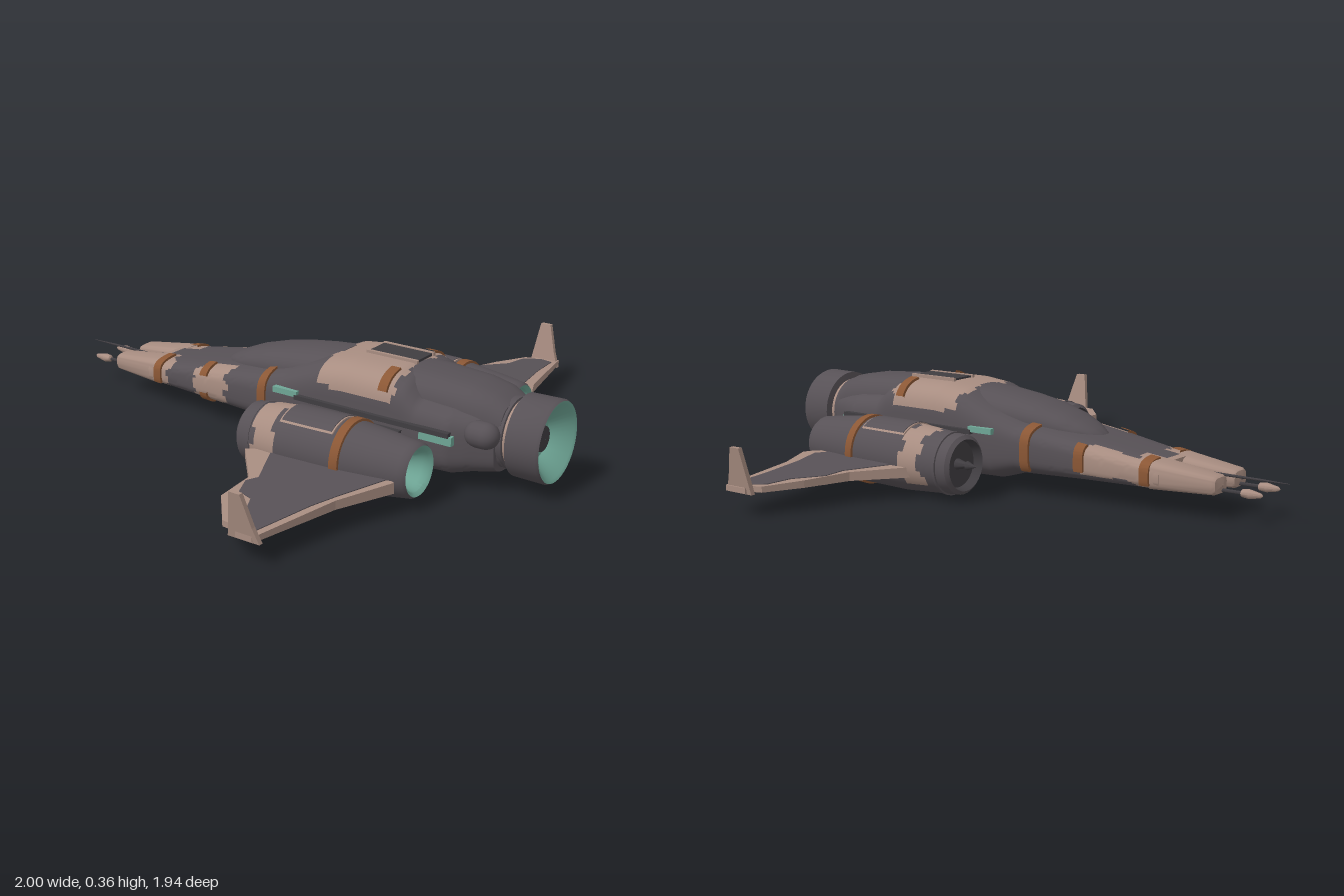
import * as THREE from 'three';
import { toCreasedNormals } from 'three/addons/utils/BufferGeometryUtils.js';

const COLORS = { darkHull: 0x575156, tanPaint: 0xa88d81, rustStrap: 0x8b5735, tealGlow: 0x6fa696, gunmetal: 0x403d41 };
const KEYS = Object.keys(COLORS);
const [DARK, TAN, RUST, TEAL, GUN] = [0, 1, 2, 3, 4];

// Sections run along x as [x, halfWidth, bottom, top, zCentre].
const round = (x, r, cy = 0, z = 0) => [x, r, cy - r, cy + r, z];
const HULL = [
  [-0.604, 0.01, 0.1, 0.11, 0], [-0.6, 0.135, 0.072, 0.165, 0], [-0.5, 0.143, 0.07, 0.178, 0],
  [-0.3, 0.168, 0.068, 0.21, 0], [-0.05, 0.19, 0.06, 0.245, 0], [0.05, 0.195, 0.03, 0.275, 0],
  [0.2, 0.195, 0.025, 0.335, 0], [0.3, 0.195, 0.025, 0.347, 0], [0.48, 0.195, 0.025, 0.347, 0],
  [0.53, 0.195, 0.027, 0.33, 0], [0.58, 0.195, 0.03, 0.285, 0], [0.7, 0.19, 0.035, 0.275, 0],
  [0.76, 0.165, 0.05, 0.265, 0], [0.84, 0.125, 0.06, 0.25, 0], [0.845, 0.01, 0.15, 0.16, 0]];

export function createModel() {
  const model = new THREE.Group();
  model.name = 'starfighter';
  const mats = KEYS.map((name) => {
    const m = new THREE.MeshStandardMaterial({ color: COLORS[name] });
    m.name = name;
    return m;
  });
  const add = (name, geo, mat, parent = model) => {
    const mesh = new THREE.Mesh(geo, mat);
    mesh.name = name;
    parent.add(mesh);
    return mesh;
  };
  const box = (name, w, h, d, x, y, z, color, parent) => {
    const m = add(name, new THREE.BoxGeometry(w, h, d), mats[color], parent);
    m.position.set(x, y, z);
    return m;
  };

  // Lofts superellipse sections; paint(x, y, z, segment) picks the colour of each quad.
  const loft = (name, stations, { n = 2, paint = () => DARK, step = 1, a0 = -90, a1 = 270, sides = 36, parent } = {}) => {
    const rows = [];
    stations.forEach((s, i) => {
      const next = stations[i + 1];
      const k = next ? Math.max(1, Math.ceil(Math.abs(next[0] - s[0]) / step)) : 1;
      for (let j = 0; j < k; j++) rows.push({ seg: i, s: next ? s.map((v, c) => v + (next[c] - v) * j / k) : s });
    });
    const pow = (t) => Math.sign(t) * Math.abs(t) ** (2 / n);
    const pts = rows.map(({ s: [x, w, b, t, z] }) => Array.from({ length: sides + 1 }, (_, j) => {
      const a = THREE.MathUtils.degToRad(a0 + (a1 - a0) * j / sides);
      return [x, (b + t) / 2 + (t - b) / 2 * pow(Math.sin(a)), z + w * pow(Math.cos(a))];
    }));
    const faces = KEYS.map(() => []);
    for (let i = 0; i < rows.length - 1; i++) for (let j = 0; j < sides; j++) {
      const a = i * (sides + 1) + j, b = a + sides + 1;
      const mid = pts[i][j].map((v, c) => (v + pts[i + 1][j + 1][c]) / 2);
      faces[paint(...mid, rows[i].seg)].push(a, b, b + 1, a, b + 1, a + 1);
    }
    const geo = new THREE.BufferGeometry();
    geo.setAttribute('position', new THREE.Float32BufferAttribute(pts.flat(2), 3));
    geo.setIndex(faces.flat());
    let start = 0;
    faces.forEach((f, m) => { if (f.length) geo.addGroup(start, f.length, m); start += f.length; });
    return add(name, toCreasedNormals(geo, 0.6), mats, parent);
  };

  const body = new THREE.Group();
  body.name = 'body';
  body.position.z = -0.01;
  model.add(body);

  // Main hull with camouflage patches
  const hullPaint = (x, y, z) => {
    const wob = 0.015 * Math.sin(z * 70) + 0.01 * Math.sin(y * 130);
    if (x < -0.5 + wob && (Math.abs(z) > 0.035 || x < -0.57)) return TAN;
    if (z < -0.11 && x < -0.33 + wob && y > 0.1) return TAN;
    if (z > 0.11 && x > -0.35 + wob && x < -0.2 + wob && y > 0.085) return TAN;
    if (x > 0.2 + wob * 0.6 && x < 0.5 + wob * 0.6 && y > 0.26) return TAN;
    return DARK;
  };
  loft('hull', HULL, { n: 3.6, paint: hullPaint, step: 0.014, sides: 56, parent: body });

  // Canopy fairing and rear spine
  loft('canopy', [
    [-0.32, 0.005, 0.17, 0.19, 0], [-0.3, 0.04, 0.16, 0.215, 0], [-0.25, 0.075, 0.16, 0.243, 0], [-0.18, 0.1, 0.16, 0.272, 0],
    [-0.08, 0.118, 0.16, 0.3, 0], [0.02, 0.128, 0.16, 0.318, 0], [0.11, 0.132, 0.16, 0.33, 0], [0.21, 0.14, 0.16, 0.338, 0],
    [0.22, 0.01, 0.2, 0.21, 0]], { n: 2.4, step: 0.03, parent: body });
  loft('spine', [
    [0.46, 0.14, 0.1, 0.345, 0], [0.56, 0.14, 0.1, 0.342, 0], [0.72, 0.135, 0.08, 0.332, 0],
    [0.8, 0.122, 0.06, 0.318, 0], [0.85, 0.11, 0.07, 0.29, 0], [0.852, 0.01, 0.17, 0.18, 0]], { n: 3, parent: body });

  // Forked nose with guns
  for (const s of [-1, 1]) {
    loft('nosePronge'.slice(0, 9), [
      [-0.797, 0.005, 0.108, 0.115, s * 0.064], [-0.79, 0.038, 0.085, 0.137, s * 0.064],
      [-0.78, 0.043, 0.08, 0.143, s * 0.065], [-0.56, 0.066, 0.073, 0.171, s * 0.073], [-0.55, 0.01, 0.1, 0.11, s * 0.073]],
      { n: 3.6, paint: () => TAN, parent: body });
    const z = s * 0.058;
    loft('noseGun', [
      round(-0.938, 0.001, 0.095, z), round(-0.93, 0.008, 0.095, z), round(-0.89, 0.016, 0.095, z),
      round(-0.865, 0.013, 0.095, z), round(-0.86, 0.006, 0.095, z), round(-0.78, 0.006, 0.095, z)],
      { sides: 12, paint: (x) => (x < -0.862 ? TAN : GUN), parent: body });
  }
  box('noseBridge', 0.03, 0.05, 0.06, -0.65, 0.115, 0, GUN, body);
  box('noseFloor', 0.1, 0.03, 0.06, -0.63, 0.09, 0, DARK, body);
  loft('sensorNeedle', [round(-1, 0.001, 0.131), round(-0.9, 0.004, 0.131), round(-0.62, 0.006, 0.131)],
    { sides: 8, paint: () => GUN, parent: body });

  // Rust straps wrapping parts of the hull
  const hullAt = (x) => {
    const i = HULL.findIndex((s) => s[0] > x), a = HULL[i - 1], b = HULL[i];
    return a.map((v, c) => v + (b[c] - v) * (x - a[0]) / (b[0] - a[0]));
  };
  const strap = (x, a0, a1, width = 0.036) => {
    const edge = (dx, g) => {
      const [px, w, b, t, z] = hullAt(x + dx);
      return [px, w + g, b - g, t + g, z];
    };
    const h = width / 2;
    loft('strap', [edge(-h, -0.004), edge(-h + 0.001, 0.008), edge(h - 0.001, 0.008), edge(h, -0.004)],
      { n: 3.6, a0, a1, sides: 16, paint: () => RUST, parent: body });
  };
  [[-0.55, -20, 80], [-0.55, 105, 200], [-0.31, 15, 65], [-0.31, -60, -8], [-0.31, 135, 190],
    [-0.03, -30, 70], [-0.1, 110, 210], [0.46, 25, 72], [0.46, 108, 155]].forEach((s) => strap(...s));

  // Dorsal vent, panels, and side fittings
  box('dorsalVent', 0.19, 0.009, 0.09, 0.395, 0.349, -0.025, GUN, body);
  for (const z of [-0.077, 0.027]) box('ventRail', 0.2, 0.012, 0.012, 0.395, 0.35, z, TAN, body);
  for (const s of [-1, 1]) {
    box('engineStrut', 0.28, 0.09, 0.09, 0.4, 0.13, s * 0.215, GUN, body);
    box('coolantPipe', 0.6, 0.016, 0.02, 0.42, 0.2, s * 0.2, GUN, body);
    box('tealFitting', 0.1, 0.02, 0.02, 0.08, 0.21, s * 0.198, TEAL, body);
    box('rearFitting', 0.12, 0.03, 0.02, 0.67, 0.18, s * 0.195, TEAL, body);
  }
  const pod = add('sidePod', new THREE.CapsuleGeometry(0.044, 0.03, 6, 16), mats[DARK], body);
  pod.rotation.z = Math.PI / 2;
  pod.position.set(0.81, 0.208, 0.15);

  // Main tail engine
  const C = 0.178;
  loft('tailEngine', [
    [0.78, 0.118], [0.86, 0.12], [0.862, 0.113], [0.878, 0.113], [0.882, 0.138], [0.99, 0.14], [1, 0.135],
    [0.995, 0.124], [0.93, 0.07], [0.93, 0.047], [0.95, 0.042], [0.955, 0.001]].map(([x, r]) => round(x, r, C)),
    { sides: 40, paint: (x, y, z, seg) => (seg === 2 ? TAN : seg < 6 ? DARK : seg < 9 ? TEAL : GUN), parent: body });

  // Side engines
  const sideEngine = (s, front) => {
    const g = new THREE.Group();
    g.name = s > 0 ? 'lowerSideEngine' : 'upperSideEngine';
    model.add(g);
    const ring = ([x, r]) => round(x, r, 0.122, s * (0.363 - 0.04 * x) - 0.005);
    const paint = (x, y, z, seg) => {
      if (seg >= 12) return GUN;
      if (seg >= 9) return TEAL;
      if (seg < 2) return GUN;
      const wob = 0.018 * Math.sin(y * 60 + z * 40);
      return x > 0.14 + wob && x < 0.225 + wob * 0.6 && y > 0.05 ? TAN : DARK;
    };
    loft('nacelle', [
      [front + 0.04, 0.001], [front + 0.035, 0.08], [front, 0.088], [front + 0.012, 0.101], [0.15, 0.11], [0.25, 0.117],
      [0.47, 0.115], [0.6, 0.102], [0.69, 0.09], [0.7, 0.083], [0.69, 0.07], [0.63, 0.05], [0.625, 0.024],
      [0.645, 0.02], [0.65, 0.001]].map(ring), { step: 0.02, paint, parent: g });
    loft('intakeSpike', [[front - 0.045, 0.001], [front - 0.005, 0.016], [front, 0.01], [front + 0.05, 0.022]].map(ring),
      { sides: 12, paint: () => GUN, parent: g });
    loft('engineStrap', [[0.444, 0.112], [0.446, 0.123], [0.476, 0.122], [0.478, 0.112]].map(ring),
      { paint: () => RUST, parent: g });
    loft('intakeBand', [[front + 0.05, 0.1], [front + 0.052, 0.109], [front + 0.062, 0.109], [front + 0.064, 0.1]].map(ring),
      { parent: g });
    // Raised cover with a tan border on the top of the nacelle
    for (const [grow, r, c] of [[0.006, 0.1195, TAN], [0, 0.1215, DARK]]) {
      const spread = 38 + grow * 600;
      loft('enginePanel', [[0.235 - grow, 0.11], [0.237 - grow, r], [0.425 + grow, r], [0.427 + grow, 0.11]].map(ring),
        { a0: 90 - spread, a1: 90 + spread, sides: 14, paint: () => c, parent: g });
    }
  };
  sideEngine(-1, 0.015);
  sideEngine(1, 0.065);

  // Wings: tapered slabs; the dark field stands just proud of both faces
  const slab = (name, outline, extra, color) => {
    const shape = new THREE.Shape(outline.map(([x, z]) => new THREE.Vector2(x, z)));
    const geo = new THREE.ExtrudeGeometry(shape, { depth: 1, bevelEnabled: false });
    geo.rotateX(Math.PI / 2);
    const p = geo.attributes.position;
    for (let i = 0; i < p.count; i++) {
      const out = Math.abs(p.getZ(i)) - 0.4;
      p.setY(i, 0.094 - out * 0.02 + (p.getY(i) + 0.5) * (0.038 - out * 0.035 + extra));
    }
    geo.computeVertexNormals();
    add(name, geo, mats[color]);
  };
  slab('upperWing', [[0.17, -0.43], [0.18, -0.46], [0.31, -0.62], [0.36, -0.78], [0.42, -0.91], [0.45, -0.92], [0.45, -0.955],
    [0.54, -0.955], [0.545, -0.92], [0.6, -0.63], [0.66, -0.49], [0.64, -0.46], [0.55, -0.38], [0.25, -0.38]], 0, TAN);
  slab('upperWingField', [[0.24, -0.44], [0.34, -0.62], [0.34, -0.7], [0.41, -0.79], [0.425, -0.88], [0.48, -0.92], [0.53, -0.91],
    [0.54, -0.78], [0.57, -0.6], [0.605, -0.49], [0.55, -0.42]], 0.005, DARK);
  slab('lowerWing', [[0.13, 0.48], [0.27, 0.64], [0.28, 0.79], [0.385, 0.915], [0.43, 0.92], [0.46, 0.95], [0.52, 0.95],
    [0.53, 0.93], [0.59, 0.63], [0.67, 0.43], [0.55, 0.38], [0.25, 0.38], [0.2, 0.44]], 0, TAN);
  slab('lowerWingField', [[0.21, 0.44], [0.3, 0.63], [0.28, 0.67], [0.31, 0.74], [0.37, 0.76], [0.45, 0.92], [0.51, 0.91],
    [0.55, 0.7], [0.58, 0.6], [0.64, 0.43], [0.55, 0.4]], 0.005, DARK);

  // Upturned winglets leaning outward
  for (const s of [-1, 1]) {
    const shape = new THREE.Shape([[0.43, 0.07], [0.435, 0.1], [0.455, 0.225], [0.495, 0.225], [0.525, 0.12], [0.545, 0.07]]
      .reverse().map(([x, y]) => new THREE.Vector2(x, y)));
    const geo = new THREE.ExtrudeGeometry(shape, { depth: 0.016, bevelEnabled: false });
    const p = geo.attributes.position;
    for (let i = 0; i < p.count; i++) p.setZ(i, p.getZ(i) - 0.008 + s * (0.938 + (p.getY(i) - 0.07) * 0.17));
    geo.computeVertexNormals();
    add('winglet', geo, mats[TAN]);
  }
  return model;
}
